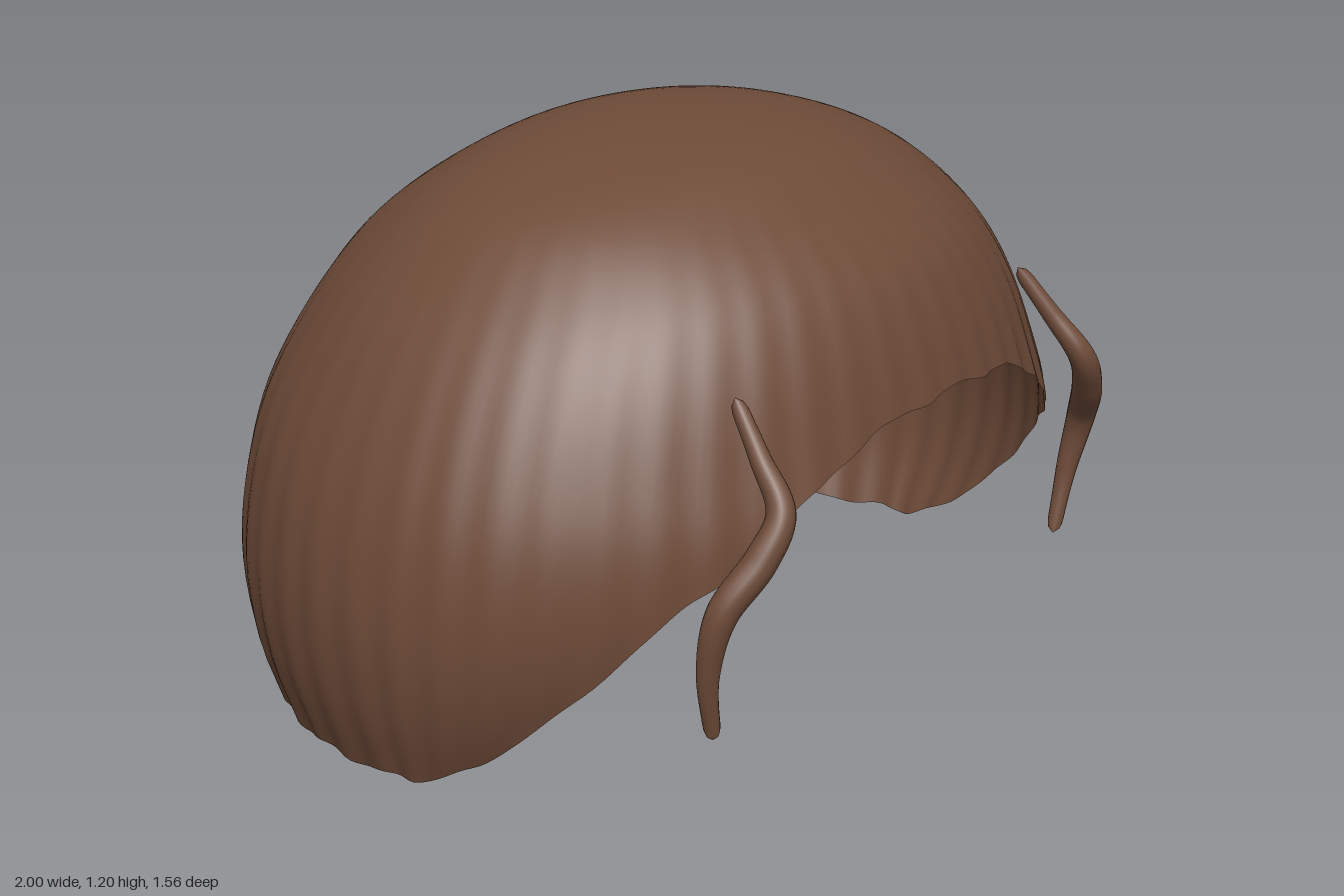
import * as THREE from 'three';

const TOP = 1.2, CENTRE_Z = 0.05;

// Cap profile by height: [y, half-width, reach to front, reach to back]
const PROFILE = [
  [1.2, 0, 0, 0], [1.16, 0.35, 0.33, 0.25], [1.08, 0.57, 0.48, 0.41],
  [0.96, 0.72, 0.62, 0.57], [0.83, 0.83, 0.69, 0.67], [0.65, 0.93, 0.74, 0.77],
  [0.5, 0.98, 0.77, 0.81], [0.32, 1.0, 0.75, 0.83], [0.15, 0.98, 0.66, 0.81],
  [0, 0.93, 0.5, 0.76],
];
// Hem height by angle away from the front, in degrees
const HEM = [[0, 0.71], [12, 0.695], [23, 0.64], [38, 0.48], [49, 0.36],
  [59, 0.2], [70, 0.07], [80, 0.015], [100, 0.008], [180, 0.008]];

// Smooth lookup in a table whose first column rises
function lookup(table, x, column) {
  let i = 0;
  while (i < table.length - 2 && x > table[i + 1][0]) i++;
  const at = (k) => table[Math.max(0, Math.min(table.length - 1, k))];
  const [a, b] = [at(i), at(i + 1)];
  const slope = (k) => (at(k + 1)[column] - at(k - 1)[column]) / (at(k + 1)[0] - at(k - 1)[0]);
  const h = b[0] - a[0], t = Math.max(0, Math.min(1, (x - a[0]) / h));
  const t2 = t * t, t3 = t2 * t;
  return (2 * t3 - 3 * t2 + 1) * a[column] + (t3 - 2 * t2 + t) * h * slope(i)
    + (3 * t2 - 2 * t3) * b[column] + (t3 - t2) * h * slope(i + 1);
}

// Open shell: rings from the crown down to the hem, with fine combed ribs
function capGeometry(rings = 48, sides = 288) {
  const drop = PROFILE.map(([y, ...r]) => [Math.sqrt(TOP - y), ...r]);
  const position = [0, TOP, CENTRE_Z], index = [];
  for (let i = 1; i <= rings; i++) {
    const t = i / rings;
    for (let j = 0; j < sides; j++) {
      const a = (j / sides) * Math.PI * 2;
      const fromFront = THREE.MathUtils.radToDeg(Math.acos(Math.cos(a)));
      const hem = lookup(HEM, fromFront, 1) + 0.006 * Math.cos(24 * a) * t ** 6;
      const s = Math.sqrt(TOP - hem) * t;
      const rib = 1 + 0.004 * t * t * Math.cos(48 * a + 5 * t * Math.sin(a));
      const reach = lookup(drop, s, Math.cos(a) > 0 ? 2 : 3);
      position.push(
        lookup(drop, s, 1) * Math.sin(a) * rib,
        TOP - s * s,
        CENTRE_Z + reach * Math.cos(a) * rib,
      );
    }
  }
  const id = (i, j) => 1 + (i - 1) * sides + (j % sides);
  for (let j = 0; j < sides; j++) {
    index.push(0, id(1, j), id(1, j + 1));
    for (let i = 1; i < rings; i++) {
      index.push(id(i, j), id(i + 1, j), id(i, j + 1));
      index.push(id(i, j + 1), id(i + 1, j), id(i + 1, j + 1));
    }
  }
  const geometry = new THREE.BufferGeometry();
  geometry.setAttribute('position', new THREE.Float32BufferAttribute(position, 3));
  geometry.setIndex(index);
  geometry.computeVertexNormals();
  return geometry;
}

// Loose lock: a tube tapered to rounded tips
function lockGeometry(side) {
  const curve = new THREE.CatmullRomCurve3([
    [0.55, 0.8, 0.605], [0.575, 0.7, 0.68], [0.6, 0.61, 0.745], [0.65, 0.53, 0.735],
    [0.715, 0.43, 0.69], [0.715, 0.3, 0.66], [0.682, 0.15, 0.65],
  ].map(([x, y, z]) => new THREE.Vector3(side * x, y, z)));
  const steps = 60, sides = 16;
  const geometry = new THREE.TubeGeometry(curve, steps, 1, sides);
  const p = geometry.attributes.position, v = new THREE.Vector3();
  for (let i = 0; i <= steps; i++) {
    const t = i / steps, c = curve.getPointAt(t);
    const tip = Math.sqrt(Math.max(0, 1 - Math.max(0, 1 - Math.min(t, 1 - t) / 0.05) ** 2));
    const radius = tip * (0.017 + 0.017 * Math.sin(Math.PI * t) ** 2);
    for (let j = 0; j <= sides; j++) {
      const k = i * (sides + 1) + j;
      v.fromBufferAttribute(p, k).sub(c).multiplyScalar(radius).add(c);
      p.setXYZ(k, v.x, v.y, v.z);
    }
  }
  return geometry;
}

export function createModel() {
  const model = new THREE.Group();
  model.name = 'hair';
  const brown = new THREE.MeshStandardMaterial({ color: 0x6e4b38, side: THREE.DoubleSide });
  brown.name = 'hair brown';

  const add = (name, geometry) => {
    const mesh = new THREE.Mesh(geometry, brown);
    mesh.name = name;
    model.add(mesh);
  };
  add('hairCap', capGeometry());
  add('leftLock', lockGeometry(1));
  add('rightLock', lockGeometry(-1));
  return model;
}
